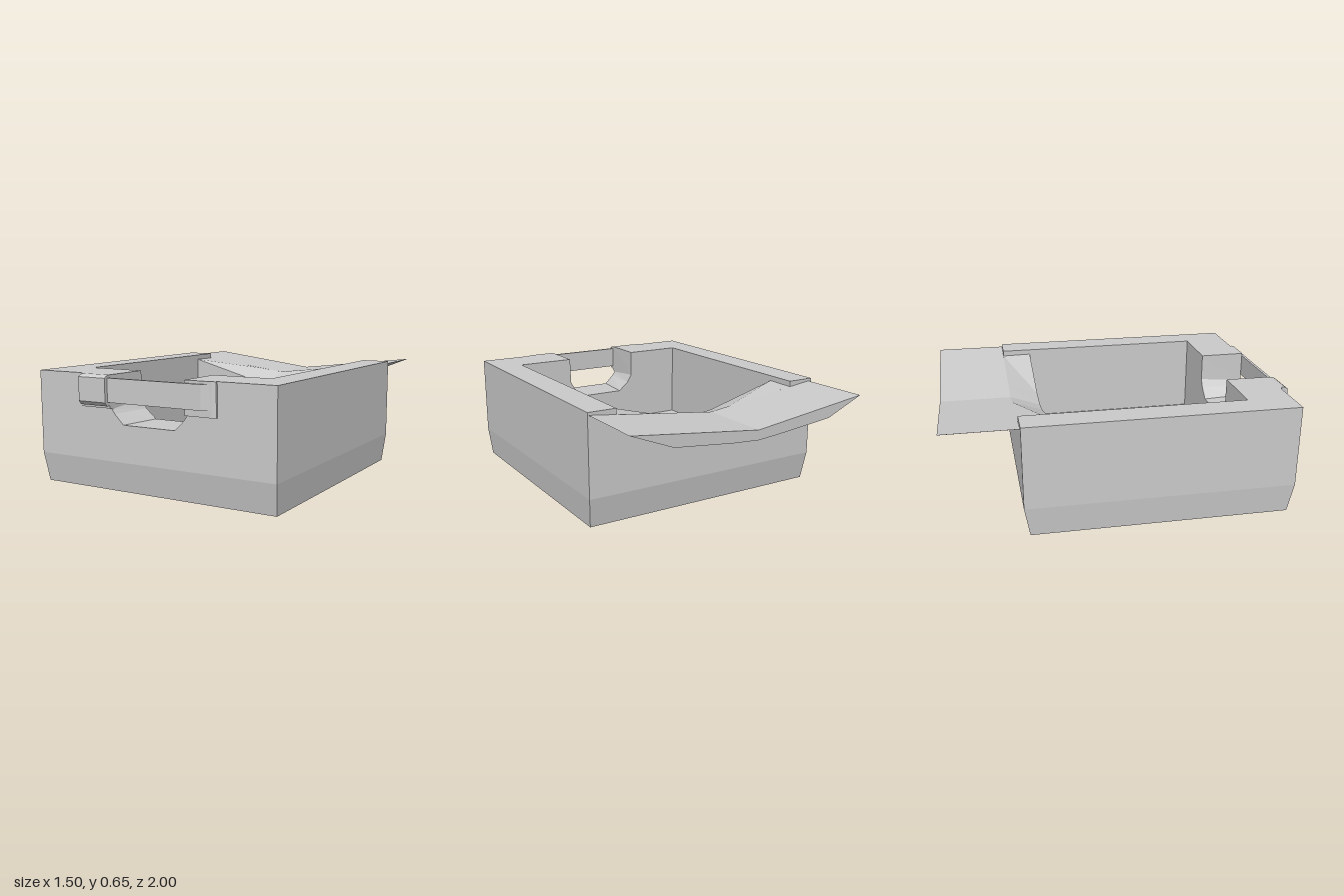
import * as THREE from 'three';

const material = new THREE.MeshStandardMaterial({ color: 0xcccccc, flatShading: true });

// Joins matching counter-clockwise outlines [depth, points] along +z and caps both ends
function loft(sections) {
  const n = sections[0][1].length;
  const pos = [];
  const idx = [];
  sections.forEach(([d, pts]) => pts.forEach(([u, v]) => pos.push(u, v, d)));
  for (let s = 0; s < sections.length - 1; s++) {
    for (let i = 0; i < n; i++) {
      const j = (i + 1) % n;
      const a = s * n + i, b = s * n + j;
      idx.push(a, b, b + n, a, b + n, a + n);
    }
  }
  const cap = (s, flip) => {
    const contour = sections[s][1].map(([u, v]) => new THREE.Vector2(u, v));
    THREE.ShapeUtils.triangulateShape(contour, []).forEach(([a, b, c]) => {
      const o = s * n;
      if (flip) idx.push(o + a, o + c, o + b);
      else idx.push(o + a, o + b, o + c);
    });
  };
  cap(0, true);
  cap(sections.length - 1, false);
  const g = new THREE.BufferGeometry();
  g.setAttribute('position', new THREE.Float32BufferAttribute(pos, 3));
  g.setIndex(idx);
  const flat = g.toNonIndexed();
  flat.computeVertexNormals();
  return flat;
}

const rect = (x0, x1, y0, y1) => [[x0, y0], [x1, y0], [x1, y1], [x0, y1]];

export function createModel() {
  const model = new THREE.Group();
  const add = (name, geometry) => {
    const mesh = new THREE.Mesh(geometry, material);
    mesh.name = name;
    model.add(mesh);
    return mesh;
  };
  const box = (name, x0, x1, y0, y1, z0, z1) => {
    const g = new THREE.BoxGeometry(x1 - x0, y1 - y0, z1 - z0);
    add(name, g.translate((x0 + x1) / 2, (y0 + y1) / 2, (z0 + z1) / 2));
  };

  const W = 0.75, IN = 0.585, TOP = 0.65, FLOOR = 0.18;
  const BACK = -0.585, FRONT = 0.945;

  // Base with a bevelled foot; its top is the floor of the cavity
  add('base', loft([
    [0, rect(-0.5, 0.5, -0.70, 0.35)],
    [0.012, rect(-0.735, 0.735, -0.915, 0.555)],
    [FLOOR, rect(-W, W, -FRONT, -BACK)],
  ]).rotateX(-Math.PI / 2));

  // Side walls
  box('rightWall', -W, -IN, FLOOR, TOP, BACK, FRONT);
  box('leftWall', IN, W, FLOOR, TOP, BACK, FRONT);

  // Front wall with a rounded notch that widens slightly toward the front
  const notched = (half) => [
    [-IN, FLOOR], [IN, FLOOR], [IN, TOP],
    ...half, ...half.map(([x, y]) => [-x, y]).reverse(),
    [-IN, TOP],
  ];
  add('frontWall', loft([
    [0.69, notched([[0.238, TOP], [0.235, 0.49], [0.205, 0.44], [0.14, 0.385]])],
    [FRONT, notched([[0.24, TOP], [0.24, 0.465], [0.222, 0.44], [0.165, 0.385]])],
  ]));

  // Back wall, whose top is a dished spout
  const dished = (top) => [[-IN, FLOOR], [IN, FLOOR], ...top];
  add('backWall', loft([
    [BACK, dished([[IN, 0.617], [0.14, 0.563], [-0.015, 0.545], [-0.14, 0.56], [-IN, 0.617]])],
    [-0.41, dished([[IN, 0.62], [0.14, 0.50], [-0.015, 0.485], [-0.14, 0.50], [-IN, 0.62]])],
  ]));

  // Tray projecting from the back
  const tray = [
    [-0.73, 0.635], [-0.5, 0.537], [-0.14, 0.50], [-0.015, 0.49],
    [0.14, 0.50], [0.5, 0.537], [0.745, 0.635], [-0.015, 0.545],
  ];
  add('backTray', loft([[-1, tray], [BACK, tray]]));

  // Thick clip on the front, beside the notch
  add('rightClip', loft([
    [0.93, rect(-0.455, -0.24, 0.47, TOP)],
    [0.945, rect(-0.455, -0.24, 0.47, TOP)],
    [0.96, rect(-0.425, -0.24, 0.47, TOP)],
    [0.962, rect(-0.42, -0.24, 0.485, TOP)],
    [0.985, rect(-0.42, -0.24, 0.485, 0.645)],
    [1, rect(-0.42, -0.24, 0.505, 0.635)],
  ]));

  // Thin lug on the other side
  add('leftLug', loft([
    [0.93, rect(0.24, 0.42, 0.47, TOP)],
    [0.955, rect(0.24, 0.42, 0.47, TOP)],
    [0.965, rect(0.24, 0.40, 0.47, TOP)],
  ]));

  // Strap bridging the notch
  add('strap', loft([
    [0.963, rect(-0.25, 0.40, 0.505, 0.635)],
    [0.98, rect(-0.25, 0.345, 0.505, 0.635)],
  ]));

  return model;
}
